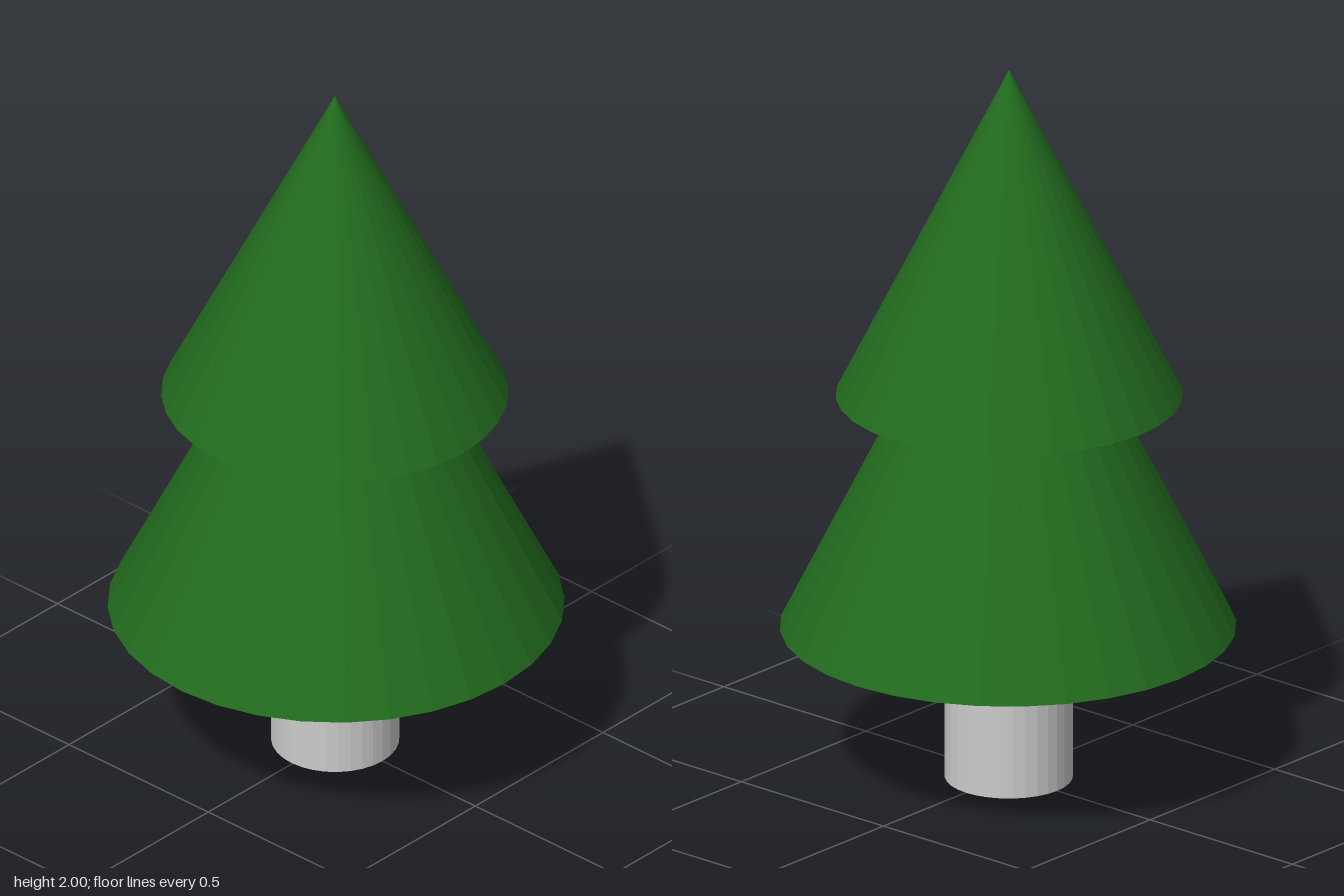
import * as THREE from 'three';

const SIDES = 32;

export function createModel() {
  const tree = new THREE.Group();
  tree.name = 'tree';
  const bark = new THREE.MeshStandardMaterial({ color: 0xcccccc, flatShading: true });
  const foliage = new THREE.MeshStandardMaterial({ color: 0x226b1e, flatShading: true });

  // Places a part by the height of its base
  const add = (name, geometry, material, base, x = 0) => {
    geometry.computeBoundingBox();
    const mesh = new THREE.Mesh(geometry, material);
    mesh.name = name;
    mesh.position.set(x, base - geometry.boundingBox.min.y, 0);
    tree.add(mesh);
  };

  // Trunk, ending just inside the lower foliage
  add('trunk', new THREE.CylinderGeometry(0.17, 0.17, 0.5, SIDES), bark, 0, -0.003);

  // Two overlapping foliage cones of equal slope
  add('lowerFoliage', new THREE.ConeGeometry(0.605, 1.22, SIDES), foliage, 0.425);
  add('upperFoliage', new THREE.ConeGeometry(0.46, 0.92, SIDES), foliage, 1.08, -0.004);

  return tree;
}
